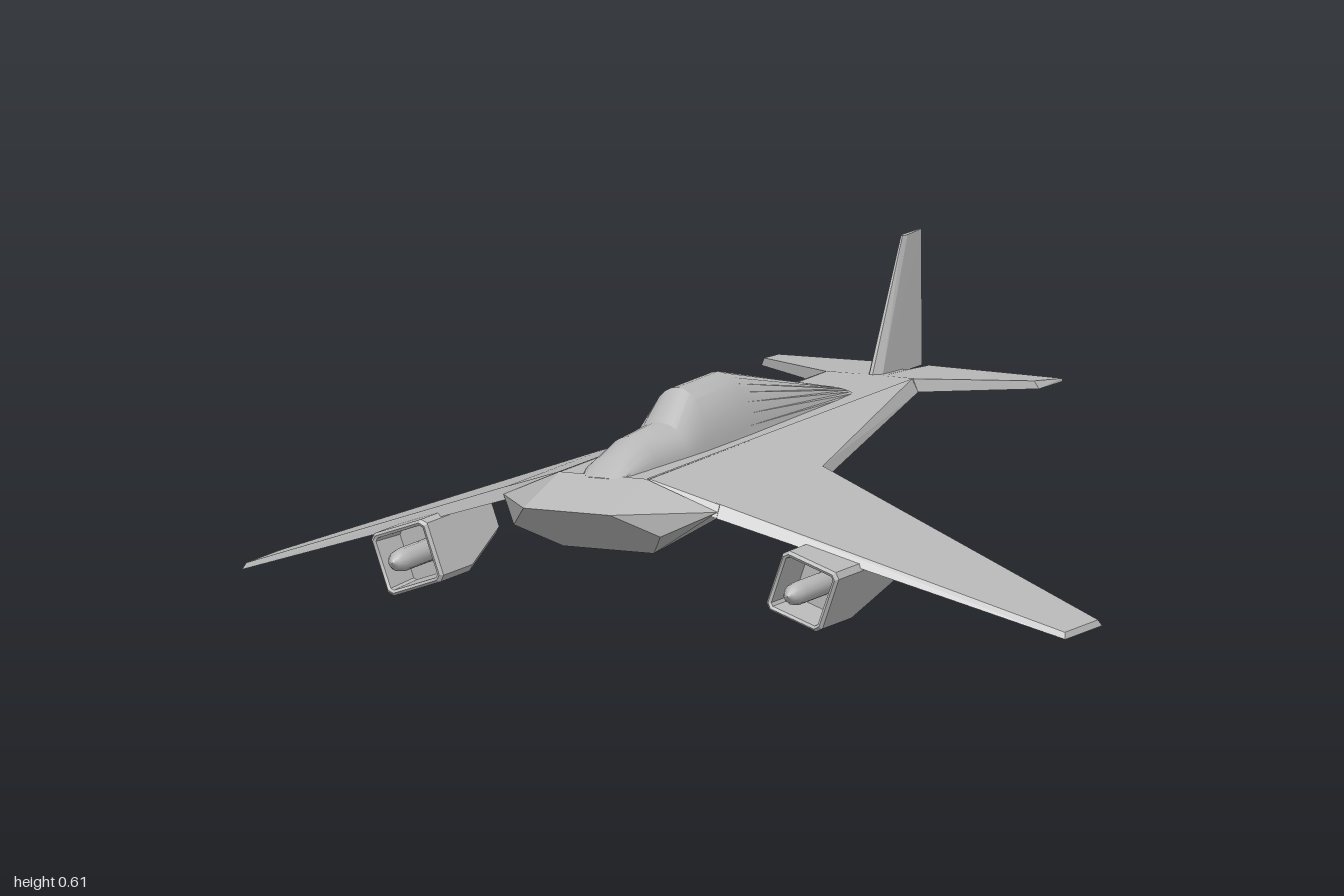
import * as THREE from 'three';
import { ConvexGeometry } from 'three/addons/geometries/ConvexGeometry.js';
import { toCreasedNormals } from 'three/addons/utils/BufferGeometryUtils.js';

const grey = new THREE.MeshStandardMaterial({ color: 0xb8b8b8 });
grey.name = 'hull grey';

function add(parent, name, geometry) {
  const mesh = new THREE.Mesh(geometry, grey);
  mesh.name = name;
  parent.add(mesh);
  return mesh;
}

// Flat-faced solid around a few corner points
const hull = (pts) => new ConvexGeometry(pts.map((p) => new THREE.Vector3(...p)));
// Adds the mirror image of every corner
const both = (pts) => pts.flatMap(([x, y, z]) => [[x, y, z], [-x, y, z]]);

// Skin over loops of points (counter-clockwise seen from the front), capped at both ends
function loft(loops, crease) {
  const out = [];
  const n = loops[0].length;
  const tri = (a, b, c) => out.push(...a, ...b, ...c);
  for (let i = 0; i < loops.length - 1; i++) {
    for (let j = 0; j < n; j++) {
      const k = (j + 1) % n;
      const [a, b, c, d] = [loops[i][j], loops[i][k], loops[i + 1][k], loops[i + 1][j]];
      tri(a, d, c);
      tri(a, c, b);
    }
  }
  const last = loops[loops.length - 1];
  for (let j = 1; j < n - 1; j++) {
    tri(loops[0][0], loops[0][j], loops[0][j + 1]);
    tri(last[0], last[j + 1], last[j]);
  }
  const g = new THREE.BufferGeometry();
  g.setAttribute('position', new THREE.Float32BufferAttribute(out, 3));
  return toCreasedNormals(g, crease);
}

// Square duct outline with chamfered corners
function ductLoop(z, h, bottom, c) {
  return [[h, bottom + c], [h, h - c], [h - c, h], [c - h, h],
    [-h, h - c], [-h, bottom + c], [c - h, bottom], [h - c, bottom]].map(([x, y]) => [x, y, z]);
}

// Box-shaped engine, open at both ends, with a bullet spike
function makeEngine(side) {
  const engine = new THREE.Group();
  engine.name = side > 0 ? 'leftEngine' : 'rightEngine';
  add(engine, 'engineDuct', loft([
    ductLoop(0.6, 0.056, -0.056, 0.006),
    ductLoop(0.712, 0.06, -0.06, 0.006),
    ductLoop(0.716, 0.066, -0.066, 0.01),
    ductLoop(0.708, 0.072, -0.072, 0.012),
    ductLoop(0.56, 0.072, -0.072, 0.012),
    ductLoop(0.38, 0.07, -0.015, 0.012),
    ductLoop(0.38, 0.058, -0.003, 0.006),
    ductLoop(0.43, 0.056, -0.012, 0.006),
  ], 0.5));
  const profile = [[0, 0.59], [0.026, 0.59], [0.026, 0.735], [0.023, 0.758], [0.014, 0.776], [0, 0.787]];
  const spike = new THREE.LatheGeometry(profile.map(([r, y]) => new THREE.Vector2(r, y)), 12);
  spike.rotateX(Math.PI / 2);
  add(engine, 'engineSpike', spike);
  engine.position.set(side * 0.48, 0.108, 0);
  engine.rotation.z = -side * 0.34;
  return engine;
}

export function createModel() {
  const model = new THREE.Group();
  model.name = 'aircraft';

  // Wedge nose and tapering belly
  add(model, 'nose', hull(both([
    [0.105, 0.28, 0.905], [0.178, 0.22, 0.8], [0.11, 0.16, 0.69],
    [0.105, 0.331, 0.72], [0.26, 0.262, 0.68],
  ])));
  add(model, 'belly', hull(both([
    [0.11, 0.16, 0.69], [0.235, 0.265, 0.68], [0.22, 0.268, 0.13],
    [0.1, 0.31, -0.65], [0.035, 0.25, -0.45], [0.03, 0.293, -0.65], [0.1, 0.315, 0.69],
  ])));
  add(model, 'upperDeck', hull(both([
    [0.11, 0.33, 0.72], [0.11, 0.3, 0.72], [0.105, 0.33, -0.65], [0.105, 0.3, -0.65],
  ])));
  add(model, 'tailRoot', hull(both([
    [0.03, 0.33, -0.65], [0.03, 0.294, -0.65], [0.022, 0.32, -0.79], [0.022, 0.3, -0.79],
  ])));

  for (const s of [1, -1]) {
    const label = s > 0 ? 'left' : 'right';
    const part = (name, pts) => add(model, label + name, hull(pts.map(([x, y, z]) => [s * x, y, z])));
    // Drooping wing with bevelled edges
    part('WingRoot', [
      [0.105, 0.331, 0.712], [0.26, 0.277, 0.67], [0.25, 0.281, 0.142], [0.105, 0.331, -0.64],
      [0.105, 0.3, 0.72], [0.26, 0.25, 0.685], [0.263, 0.25, 0.127], [0.115, 0.3, -0.65],
      [0.26, 0.277, 0.142],
    ]);
    part('Wing', [
      [0.25, 0.281, 0.67], [0.994, 0.014, 0.45], [0.994, 0.014, 0.28], [0.25, 0.281, 0.142],
      [0.25, 0.252, 0.688], [1, 0, 0.46], [1, 0, 0.272], [0.263, 0.25, 0.127],
    ]);
    // Swept tailplane
    part('Tailplane', [
      [0.02, 0.33, -0.65], [0.105, 0.33, -0.645], [0.328, 0.318, -0.795], [0.345, 0.307, -0.905],
      [0.02, 0.311, -0.905], [0.02, 0.294, -0.65], [0.115, 0.3, -0.65], [0.337, 0.3, -0.8],
      [0.345, 0.3, -0.905], [0.02, 0.302, -0.905],
    ]);
    model.add(makeEngine(s));
  }

  // Upright fin, thick in front and thin behind
  add(model, 'tailFin', hull(both([
    [0.004, 0.32, -0.645], [0.017, 0.32, -0.672], [0.003, 0.31, -0.905],
    [0.002, 0.614, -0.808], [0.006, 0.614, -0.825], [0.002, 0.614, -0.905],
  ])));

  // Canopy running into a long spine: z, half width, top height
  const stations = [
    [0.735, 0.05, 0.328], [0.69, 0.06, 0.36], [0.58, 0.065, 0.394], [0.43, 0.074, 0.401],
    [0.34, 0.078, 0.465], [0.13, 0.078, 0.466], [-0.43, 0.068, 0.341], [-0.455, 0.05, 0.331],
  ];
  const arc = 16;
  add(model, 'canopy', loft(stations.map(([z, w, top]) => {
    const loop = [];
    for (let i = 0; i <= arc; i++) {
      const a = (i / arc) * Math.PI;
      loop.push([w * Math.cos(a), 0.322 + (top - 0.322) * Math.sin(a), z]);
    }
    return loop;
  }), 0.45));

  return model;
}
